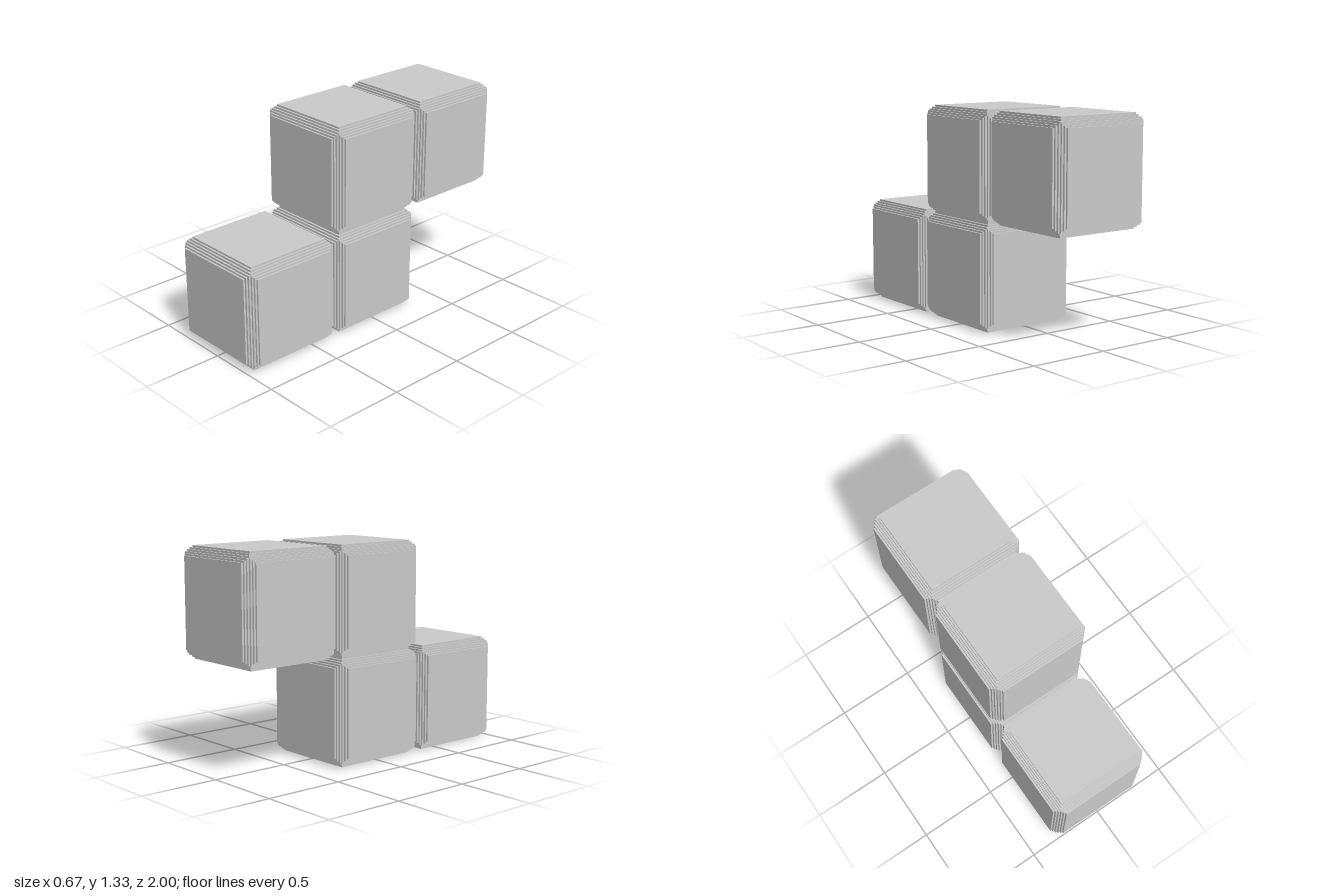
import * as THREE from 'three';
import { mergeGeometries } from 'three/addons/utils/BufferGeometryUtils.js';

const SIZE = 2 / 3;      // edge of one block
const STEP = 0.0117;     // height of one stair on the edges
const STEPS = 5;         // stairs between two neighbouring faces

// Cube whose edges descend in small stairs: nested slabs along each axis
function steppedCube() {
  const slabs = [];
  for (let axis = 0; axis < 3; axis++) {
    for (let inset = 0; inset * 2 < STEPS; inset++) {
      const size = [0, 1, 2].map(i =>
        SIZE - 2 * STEP * (i === axis ? inset : STEPS - inset));
      slabs.push(new THREE.BoxGeometry(...size));
    }
  }
  return mergeGeometries(slabs);
}

export function createModel() {
  const model = new THREE.Group();
  model.name = 'zigzagBlockPiece';
  const material = new THREE.MeshStandardMaterial({ color: 0xcccccc });
  const geometry = steppedCube();

  // Grid cells: [name, row from the ground, cell toward the front]
  const blocks = [
    ['lowerFrontBlock', 0, 1],
    ['lowerMiddleBlock', 0, 0],
    ['upperMiddleBlock', 1, 0],
    ['upperBackBlock', 1, -1],
  ];
  for (const [name, row, cell] of blocks) {
    const block = new THREE.Mesh(geometry, material);
    block.name = name;
    block.position.set(0, (row + 0.5) * SIZE, cell * SIZE);
    model.add(block);
  }
  return model;
}
